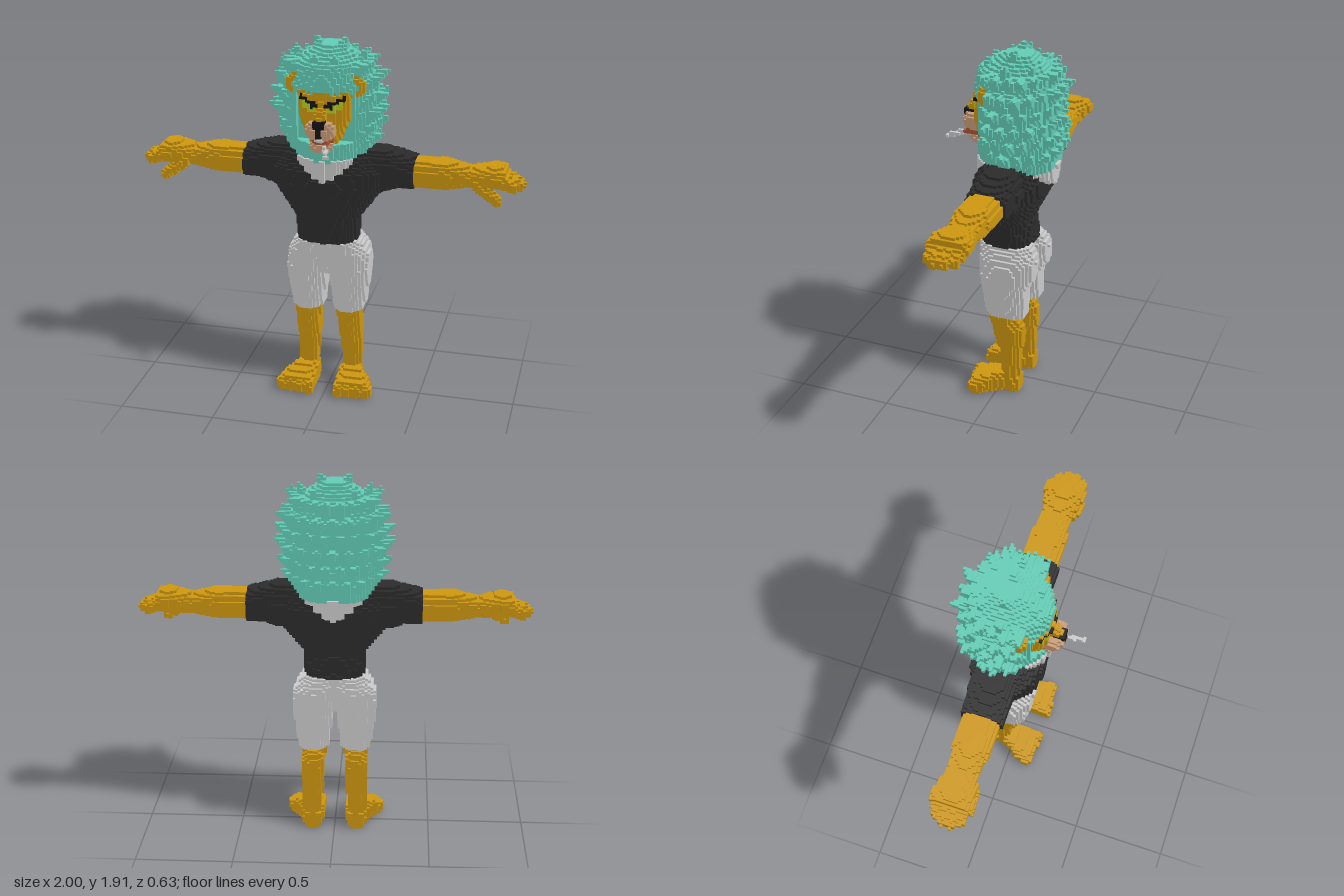
import * as THREE from 'three';

// Voxel figure: parts are solid rules sampled on one grid, then skinned with cube faces.
const S = 1 / 70;
const DIM = [140, 136, 46];
const ORIGIN = [-1, 0, -0.33];

const mat = (name, color) => Object.assign(new THREE.MeshStandardMaterial({ color }), { name });

// Cross-section at t from rows of [t, centreA, radiusA, centreB, radiusB]
function section(rows, t) {
  if (t < rows[0][0] || t > rows[rows.length - 1][0]) return null;
  let i = 1;
  while (i < rows.length - 1 && t > rows[i][0]) i++;
  const a = rows[i - 1], b = rows[i], k = (t - a[0]) / (b[0] - a[0]);
  return a.map((v, j) => v + (b[j] - v) * k);
}

// Lofts run along one axis; shapes are mirrored in x
function loft(axis, rows, n = 2.4) {
  return (x, y, z) => {
    const ax = Math.abs(x);
    const [t, a, b] = axis === 'x' ? [ax, y, z] : axis === 'y' ? [y, ax, z] : [z, ax, y];
    const s = section(rows, t);
    return !!s && Math.abs((a - s[1]) / s[2]) ** n + Math.abs((b - s[3]) / s[4]) ** n <= 1;
  };
}
const ball = (cx, cy, cz, rx, ry, rz) => (x, y, z) =>
  ((Math.abs(x) - cx) / rx) ** 2 + ((y - cy) / ry) ** 2 + ((z - cz) / rz) ** 2 <= 1;

// Rounded rod or spike from p to q, radius r0 to r1
function rod(p, q, r0, r1 = r0, mirrored = true) {
  const a = new THREE.Vector3(...p), d = new THREE.Vector3(...q).sub(a), w = new THREE.Vector3();
  return (x, y, z) => {
    w.set(mirrored ? Math.abs(x) : x, y, z).sub(a);
    const t = THREE.MathUtils.clamp(w.dot(d) / d.lengthSq(), 0, 1);
    return w.addScaledVector(d, -t).length() <= r0 + (r1 - r0) * t;
  };
}
const any = (...tests) => (x, y, z) => tests.some((f) => f(x, y, z));

function maneRule() {
  const rows = [
    [1.31, 0, 0.185, -0.06, 0.205], [1.55, 0, 0.25, -0.05, 0.21], [1.7, 0, 0.235, -0.05, 0.21],
    [1.8, 0, 0.18, -0.04, 0.185], [1.89, 0, 0.05, -0.06, 0.06]];
  // Body of hair: round behind, tapering to the front
  const body = (x, y, z) => {
    const s = section(rows, y);
    if (!s) return false;
    const n = z > s[3] ? 1.7 : 2.3;
    return Math.abs(x / s[2]) ** n + Math.abs((z - s[3]) / s[4]) ** n <= 1;
  };
  // Staggered rings of pointed locks
  const locks = [];
  for (let ring = 0; ring < 6; ring++) {
    const y = 1.39 + ring * 0.078, s = section(rows, y);
    for (let i = 0; i < 7; i++) {
      const a = (i + (ring % 2) * 0.5) * 0.31;
      const dx = Math.sin(a), dz = -Math.cos(a), out = 0.035 + 0.015 * ((i + ring) % 3);
      locks.push(rod([dx * s[2] * 0.75, y - 0.025, s[3] + dz * s[4] * 0.75],
        [dx * (s[2] + out), y + 0.04, s[3] + dz * (s[4] + out)], 0.055, 0.004));
    }
  }
  // Crown tufts
  const tuft = (x, y, z) => locks.push(rod([x * 0.65, y - 0.13, z * 0.65], [x, y, z], 0.07, 0.006));
  tuft(0.07, 1.925, -0.06);
  tuft(0.18, 1.865, -0.05);
  tuft(0.055, 1.86, 0.09);
  tuft(0.1, 1.86, -0.17);
  tuft(0, 1.81, 0.14);
  const all = any(body, ...locks);
  // Open at the face, cut level at the hem
  return (x, y, z) => y > 1.31 &&
    !(z > 0.06 && y > 1.41 && y < 1.67 && Math.abs(x) < 0.14) && all(x, y, z);
}

function buildParts() {
  const fur = mat('golden fur', 0xcc960f), hair = mat('teal hair', 0x62cbb4);
  const shirt = mat('black cloth', 0x2b2b2b), pale = mat('pale grey', 0xcacaca);
  const tan = mat('tan muzzle', 0xc79c78), dark = mat('nose black', 0x141414);
  const eye = mat('yellow green', 0xb5d021), red = mat('red brown', 0xa9532f);

  // Later parts replace earlier ones; paint only recolours filled cells
  const parts = [];
  const add = (name, material, rule, paint = false) => parts.push({ name, material, rule, paint });

  add('legs', fur, any(
    rod([0.117, 0.05, -0.062], [0.115, 0.3, -0.062], 0.048, 0.055),
    ball(0.113, 0.34, -0.06, 0.063, 0.12, 0.076),
    rod([0.114, 0.3, -0.04], [0.111, 0.48, -0.012], 0.055, 0.069)));

  const toes = [0, 1, 2, 3].map((i) =>
    ball(0.082 + i * 0.047, 0.035, 0.115 - i * 0.006, 0.03, 0.045, 0.045));
  add('feet', fur, any(loft('z', [[-0.112, 0.115, 0.045, 0.045, 0.046],
    [-0.03, 0.12, 0.062, 0.06, 0.062], [0.05, 0.145, 0.092, 0.05, 0.053],
    [0.12, 0.153, 0.1, 0.04, 0.042]], 3), ...toes));

  add('arms', fur, loft('x', [[0.42, 1.243, 0.07, -0.052, 0.09], [0.6, 1.248, 0.073, -0.05, 0.09],
    [0.72, 1.245, 0.046, -0.052, 0.073], [0.84, 1.262, 0.055, -0.052, 0.104],
    [0.9, 1.26, 0.045, -0.055, 0.1]]));
  const fingers = [0, 1, 2, 3].map((i) => {
    const z = -0.125 + i * 0.048;
    return rod([0.86, 1.26, z], [i % 3 ? 0.97 : 0.945, 1.222, z * 0.85], 0.035, 0.024);
  });
  add('fingers', fur, any(...fingers, rod([0.77, 1.22, 0.015], [0.865, 1.15, 0.03], 0.034, 0.024)));

  add('shorts', pale, any(
    loft('y', [[0.47, 0.11, 0.078, -0.04, 0.107], [0.64, 0.112, 0.101, -0.03, 0.121],
      [0.7, 0.11, 0.11, -0.043, 0.142], [0.8, 0.098, 0.108, -0.046, 0.15],
      [0.872, 0.08, 0.077, -0.022, 0.134]]),
    loft('y', [[0.69, 0, 0.16, -0.03, 0.1], [0.872, 0, 0.153, -0.02, 0.132]])));

  add('shirt', shirt, any(
    loft('y', [[0.866, 0, 0.154, -0.018, 0.138], [1, 0, 0.164, -0.005, 0.13],
      [1.18, 0, 0.3, -0.04, 0.18], [1.25, 0, 0.32, -0.045, 0.175],
      [1.32, 0, 0.27, -0.05, 0.14], [1.36, 0, 0.2, -0.05, 0.08]]),
    loft('x', [[0.15, 1.25, 0.11, -0.055, 0.11], [0.29, 1.25, 0.11, -0.055, 0.112],
      [0.36, 1.255, 0.088, -0.055, 0.108], [0.443, 1.243, 0.077, -0.055, 0.107]], 2.6)));

  // Jagged bib of fur hanging front and back
  const bib = loft('y', [[1.18, 0, 0.15, -0.05, 0.2], [1.33, 0, 0.185, -0.06, 0.21]], 2);
  add('neckFur', pale, (x, y, z) => {
    const jag = 0.05 * Math.abs(((Math.abs(x) / 0.045 + 0.5) % 1) - 0.5);
    return y > 1.195 + 0.62 * Math.abs(x) + jag && bib(x, y, z);
  });

  add('mane', hair, maneRule());
  add('face', fur, any(
    loft('y', [[1.38, 0, 0.055, 0.05, 0.085], [1.53, 0, 0.125, 0.055, 0.105],
      [1.66, 0, 0.13, 0.055, 0.105], [1.69, 0, 0.1, 0.05, 0.1]]),
    rod([0, 1.62, 0.135], [0, 1.55, 0.18], 0.034),
    rod([0.035, 1.652, 0.135], [0.11, 1.672, 0.1], 0.024)));

  const earShell = ball(0.155, 1.7, 0.055, 0.042, 0.062, 0.034);
  const earHollow = ball(0.155, 1.7, 0.095, 0.022, 0.035, 0.025);
  add('ears', fur, (x, y, z) => earShell(x, y, z) && !earHollow(x, y, z));

  add('mouth', red, ball(0, 1.447, 0.13, 0.058, 0.025, 0.062));
  add('muzzle', tan, any(ball(0.032, 1.503, 0.165, 0.045, 0.045, 0.06),
    ball(0, 1.41, 0.13, 0.062, 0.028, 0.068)));
  add('teeth', pale, ball(0, 1.452, 0.17, 0.028, 0.014, 0.025));
  add('nose', dark, loft('y', [[1.478, 0, 0.01, 0.205, 0.025], [1.553, 0, 0.034, 0.195, 0.036]]));

  // Slanted eyes painted on the face
  add('eyes', eye, (x, y, z) => {
    const u = Math.abs(x) - 0.062;
    return z > 0.09 && Math.abs(u) < 0.037 && Math.abs(y - 1.61 - u * 0.35) < 0.02;
  }, true);
  add('pupils', dark, ball(0.05, 1.607, 0.15, 0.009, 0.009, 0.05), true);
  add('eyebrows', dark, rod([0.03, 1.625, 0.155], [0.105, 1.655, 0.125], 0.0125));

  add('cigaretteTip', red, rod([0.035, 1.445, 0.17], [0.036, 1.437, 0.225], 0.012, 0.012, false));
  add('cigarette', pale, rod([0.038, 1.432, 0.235], [0.055, 1.403, 0.308], 0.0115, 0.0115, false));
  return parts;
}

export function createModel() {
  const parts = buildParts();
  const [nx, ny, nz] = DIM;
  const grid = new Uint8Array(nx * ny * nz);
  const id = (c) => c.some((v, i) => v < 0 || v >= DIM[i]) ? -1 : (c[2] * ny + c[1]) * nx + c[0];
  const eachCell = (fn) => {
    for (let k = 0; k < nz; k++) for (let j = 0; j < ny; j++) for (let i = 0; i < nx; i++) fn([i, j, k]);
  };

  // Fill the grid
  eachCell((c) => {
    const p = c.map((v, i) => ORIGIN[i] + (v + 0.5) * S), at = id(c);
    parts.forEach(({ rule, paint }, n) => {
      if ((!paint || grid[at]) && rule(...p)) grid[at] = n + 1;
    });
  });

  // Collect exposed cube faces for each part
  const positions = parts.map(() => []), normals = parts.map(() => []);
  eachCell((c) => {
    const n = grid[id(c)];
    if (!n) return;
    for (let d = 0; d < 3; d++) for (const s of [-1, 1]) {
      const next = [...c];
      next[d] += s;
      const neighbour = id(next);
      if (neighbour >= 0 && grid[neighbour]) continue;
      const u = (d + 1) % 3, v = (d + 2) % 3, normal = [0, 0, 0];
      normal[d] = s;
      const ring = [[0, 0], [1, 0], [1, 1], [0, 1]];
      if (s < 0) ring.reverse();
      for (const q of [0, 1, 2, 0, 2, 3]) {
        const corner = [...c];
        corner[d] += s > 0 ? 1 : 0;
        corner[u] += ring[q][0];
        corner[v] += ring[q][1];
        positions[n - 1].push(...corner.map((w, i) => ORIGIN[i] + w * S));
        normals[n - 1].push(...normal);
      }
    }
  });

  const group = new THREE.Group();
  group.name = 'lionFigure';
  parts.forEach(({ name, material }, n) => {
    if (!positions[n].length) return;
    const geometry = new THREE.BufferGeometry();
    geometry.setAttribute('position', new THREE.Float32BufferAttribute(positions[n], 3));
    geometry.setAttribute('normal', new THREE.Float32BufferAttribute(normals[n], 3));
    const mesh = new THREE.Mesh(geometry, material);
    mesh.name = name;
    group.add(mesh);
  });
  return group;
}
